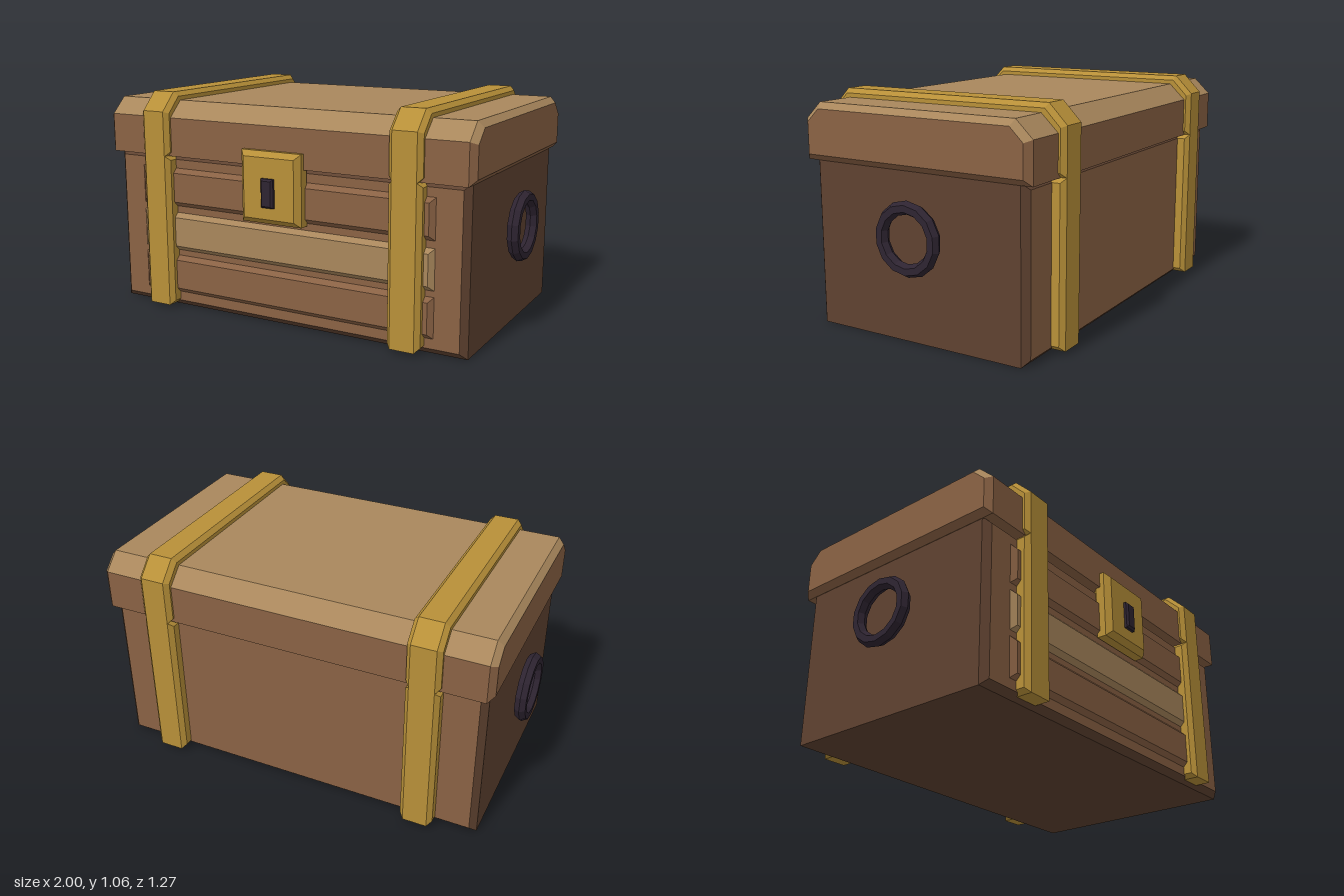
import * as THREE from 'three';

const mat = (name, color) => {
  const m = new THREE.MeshStandardMaterial({ color });
  m.name = name;
  return m;
};

// Outline extruded along z, centred, with chamfered ends; outline is the outermost size
function chamfered(points, length, bevel) {
  const shape = new THREE.Shape(points.map(([x, y]) => new THREE.Vector2(x, y)));
  const geo = new THREE.ExtrudeGeometry(shape, {
    depth: length - 2 * bevel, bevelEnabled: true, bevelSegments: 1,
    bevelSize: bevel, bevelThickness: bevel, bevelOffset: -bevel,
  });
  return geo.translate(0, 0, bevel - length / 2);
}

const rect = (x0, x1, y0, y1) => [[x0, y0], [x1, y0], [x1, y1], [x0, y1]];

// Box outline with its two top corners cut off
const cutTop = (x0, x1, y0, y1, cutX, cutY) => [
  [x0, y0], [x1, y0], [x1, y1 - cutY], [x1 - cutX, y1], [x0 + cutX, y1], [x0, y1 - cutY],
];

export function createModel() {
  const brown = mat('brown wood', 0x8a6244);
  const dark = mat('dark wood', 0x5f4230);
  const tan = mat('light wood', 0xa9875c);
  const gold = mat('gold metal', 0xb89038);
  const iron = mat('dark iron', 0x2e2431);

  const chest = new THREE.Group();
  chest.name = 'chest';
  const add = (name, geo, material, x = 0, y = 0, z = 0) => {
    const mesh = new THREE.Mesh(geo, material);
    mesh.name = name;
    mesh.position.set(x, y, z);
    chest.add(mesh);
    return mesh;
  };

  // Body: brown front and back, dark ends, underside and edges
  add('body', chamfered(rect(-0.925, 0.925, 0, 0.765), 1.108, 0.029), [brown, dark], 0, 0, -0.017);

  // Lid: profile runs along x, upward faces are light wood
  const lid = chamfered(cutTop(-0.6, 0.568, 0.756, 1.017, 0.08, 0.077), 1.91, 0.028).rotateY(-Math.PI / 2);
  const normals = lid.attributes.normal;
  lid.clearGroups();
  for (let i = 0; i < normals.count; i += 3) lid.addGroup(i, 3, normals.getY(i) > 0.3 ? 1 : 0);
  add('lid', lid, [brown, tan]);

  // Front planks
  [0.168, 0.382, 0.601].forEach((y, i) => {
    const plank = chamfered(rect(-0.776, 0.776, -0.093, 0.093), 0.06, 0.022);
    add('frontPlank' + (i + 1), plank, i === 1 ? tan : brown, 0, y, 0.529);
  });

  // Straps around body and lid, and ring handles, on both sides
  for (const [side, s] of [['left', 1], ['right', -1]]) {
    const lower = chamfered(rect(-0.63, 0.598, 0.017, 0.758), 0.157, 0.021);
    add(side + 'BodyStrap', lower.rotateY(-Math.PI / 2), gold, s * 0.655);
    const upper = chamfered(cutTop(-0.63, 0.598, 0.756, 1.057, 0.085, 0.087), 0.157, 0.021);
    add(side + 'LidStrap', upper.rotateY(-Math.PI / 2), gold, s * 0.655);

    const ring = new THREE.TorusGeometry(0.137, 0.03, 6, 14).rotateZ(Math.PI / 2).rotateY(Math.PI / 2);
    const handle = add(side + 'RingHandle', ring.toNonIndexed(), iron, s * 0.974, 0.476, -0.017);
    handle.geometry.computeVertexNormals();
  }

  // Lock plate and keyhole
  add('lockPlate', chamfered(rect(-0.157, 0.157, 0.497, 0.829), 0.095, 0.025), gold, 0, 0, 0.5675);
  add('keyhole', chamfered(rect(-0.032, 0.032, 0.578, 0.711), 0.06, 0.009), iron, 0, 0, 0.606);

  return chest;
}
